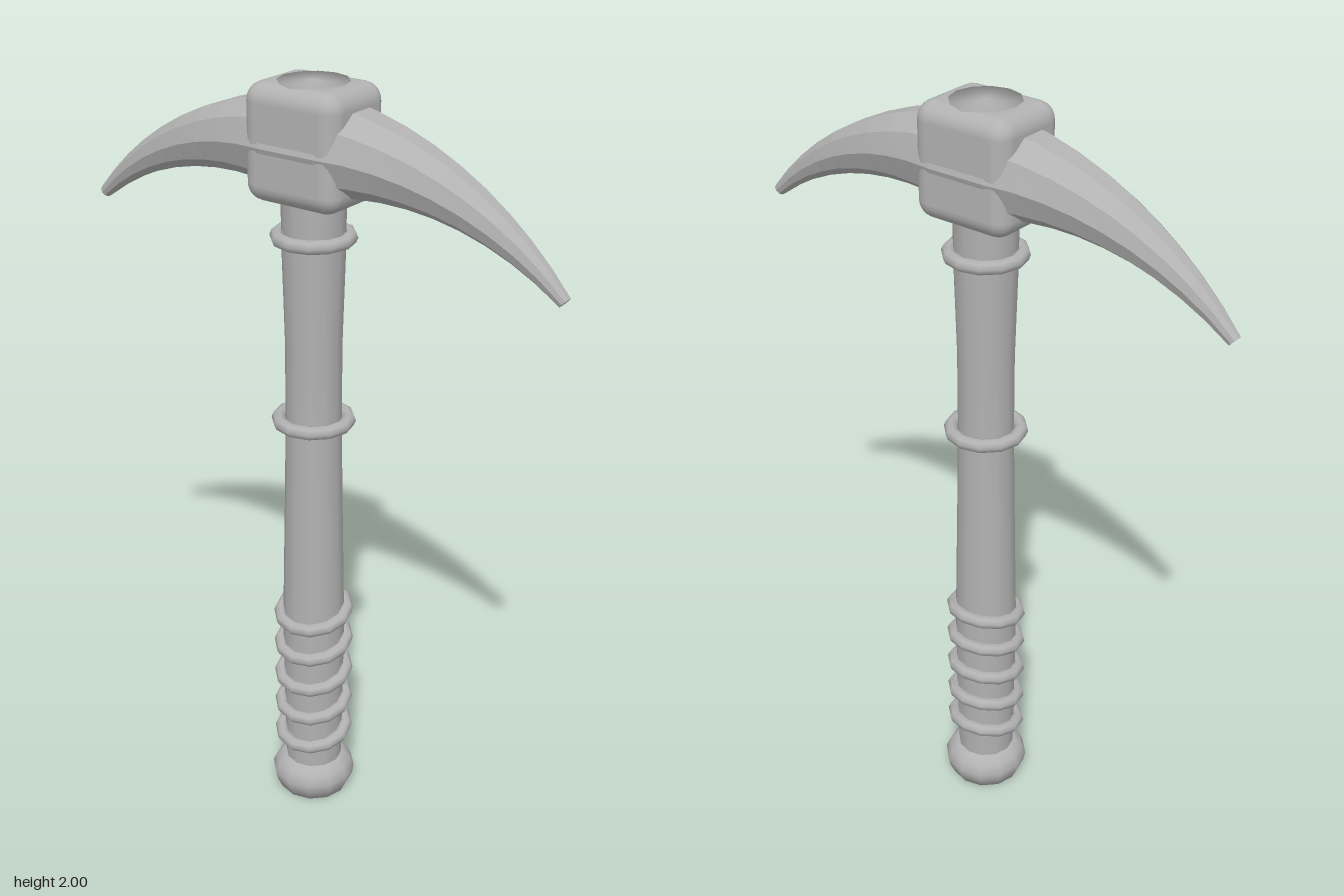
import * as THREE from 'three';
import { RoundedBoxGeometry } from 'three/addons/geometries/RoundedBoxGeometry.js';

const steel = new THREE.MeshStandardMaterial({ color: 0xb2b2b2 });
steel.name = 'grey';
const facetedSteel = steel.clone();
facetedSteel.flatShading = true;

// Ten-sided tapering bar: straight through the head, then arcing down to both tips
function pickGeometry() {
  const sides = 10, steps = 9, half = 0.08, arcRadius = 0.88, sweep = 0.756, cy = 1.85;
  const stations = [];
  for (let i = -steps; i <= steps; i++) {
    if (i === 0) stations.push([-half, 0], [half, 0]);
    else stations.push([Math.sign(i) * half, (i / steps) * sweep]);
  }
  const pos = [], index = [];
  for (const [x0, t] of stations) {
    const dx = arcRadius * Math.sin(t);
    const x = x0 + dx, y = cy - arcRadius * (1 - Math.cos(t));
    const r = 0.114 - 0.098 * Math.abs(dx) / 0.605;
    for (let j = 0; j < sides; j++) {
      const a = (j / sides) * Math.PI * 2, n = r * Math.sin(a);
      pos.push(x + n * Math.sin(t), y + n * Math.cos(t), r * Math.cos(a));
    }
  }
  const last = (stations.length - 1) * sides;
  for (let i = 0; i < last; i += sides) {
    for (let j = 0; j < sides; j++) {
      const k = (j + 1) % sides;
      index.push(i + j, i + sides + j, i + k, i + k, i + sides + j, i + sides + k);
    }
  }
  // tip caps
  for (let j = 1; j < sides - 1; j++) {
    index.push(0, j, j + 1, last, last + j + 1, last + j);
  }
  const g = new THREE.BufferGeometry();
  g.setAttribute('position', new THREE.Float32BufferAttribute(pos, 3));
  g.setIndex(index);
  g.computeVertexNormals();
  return g;
}

export function createModel() {
  const model = new THREE.Group();
  const add = (name, geometry, material = steel) => {
    const mesh = new THREE.Mesh(geometry, material);
    mesh.name = name;
    model.add(mesh);
    return mesh;
  };
  const lathe = (points) =>
    new THREE.LatheGeometry(points.map(([r, y]) => new THREE.Vector2(r, y)), 12);

  // Handle, slightly waisted, running up through the head
  add('handle', lathe([
    [0.075, 0.06], [0.078, 0.12], [0.083, 0.5], [0.082, 0.6], [0.075, 0.95],
    [0.072, 1.15], [0.072, 1.35], [0.079, 1.6], [0.08, 1.75], [0.086, 2], [0, 2],
  ]));

  // Pommel
  add('pommel', lathe([
    [0, 0], [0.096, 0], [0.11, 0.03], [0.115, 0.055], [0.104, 0.08], [0.085, 0.098], [0.07, 0.1],
  ]));

  // Collars and tilted grip wraps
  const ring = (name, y, tilt) => {
    const mesh = add(name, new THREE.TorusGeometry(0.09, 0.018, 8, 12));
    mesh.rotation.x = Math.PI / 2 + tilt;
    mesh.position.y = y;
  };
  ring('upperCollar', 1.625, 0);
  ring('middleCollar', 1.14, 0);
  [0.19, 0.285, 0.38, 0.478, 0.572].forEach((y, i) => ring(`gripWrap${i + 1}`, y, 0.2));

  // Head block and pick
  const head = add('headBlock', new RoundedBoxGeometry(0.27, 0.284, 0.22, 3, 0.045));
  head.position.y = 1.856;
  add('pick', pickGeometry(), facetedSteel);

  return model;
}
